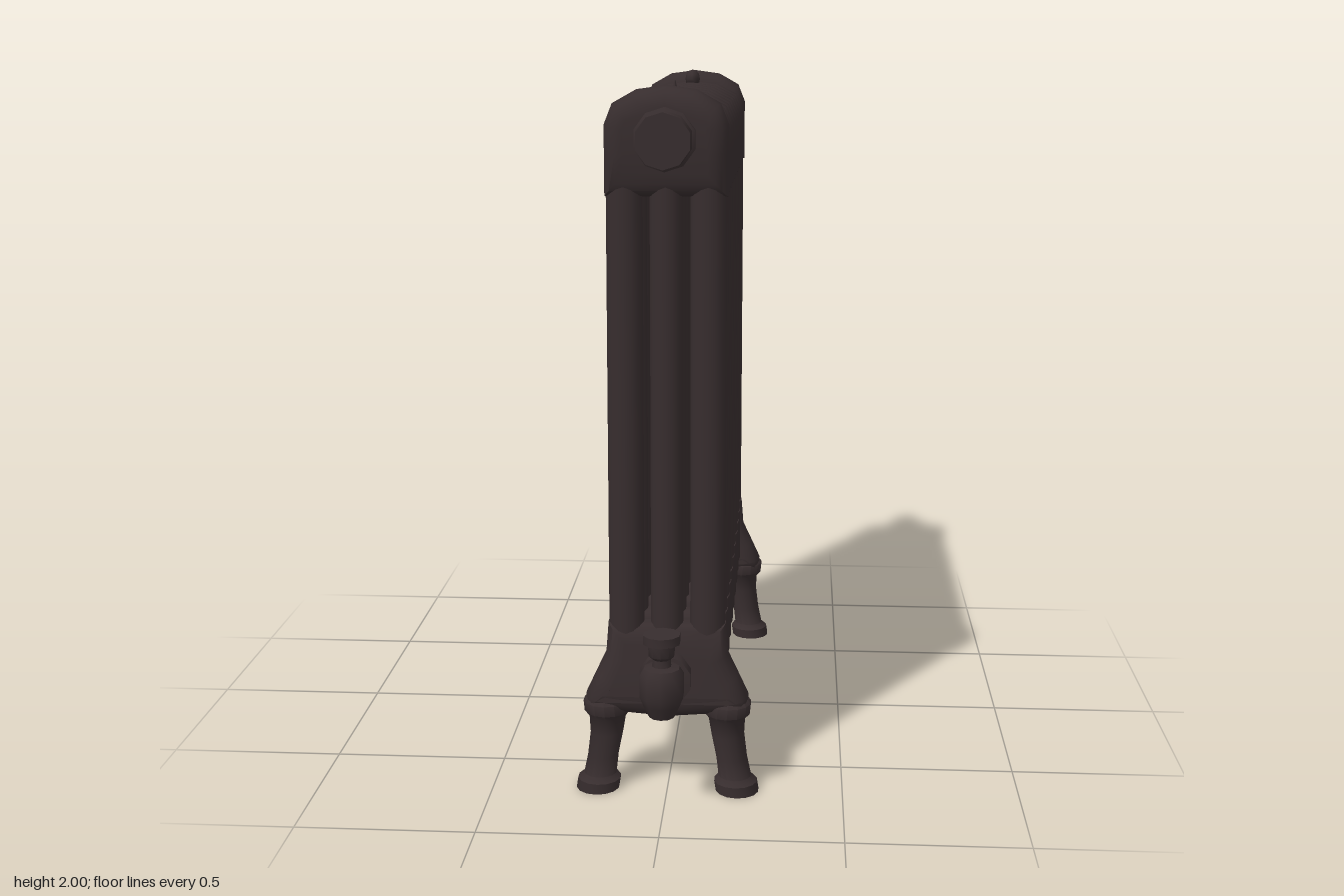
import * as THREE from 'three';
import { toCreasedNormals } from 'three/addons/utils/BufferGeometryUtils.js';

const iron = new THREE.MeshStandardMaterial({ color: 0x372d2e });
iron.name = 'dark cast iron';

function add(parent, name, geometry, x = 0, y = 0, z = 0) {
  const mesh = new THREE.Mesh(geometry, iron);
  mesh.name = name;
  mesh.position.set(x, y, z);
  parent.add(mesh);
  return mesh;
}

// Rounded, symmetric casting from the right half of its outline (bottom to top)
function casting(half, taper) {
  const left = half.filter(p => p[0] > 0).map(([x, y]) => [-x, y]).reverse();
  const shape = new THREE.Shape([...half, ...left].map(p => new THREE.Vector2(...p)));
  const g = new THREE.ExtrudeGeometry(shape, {
    depth: 0.026, bevelEnabled: true, bevelThickness: 0.052, bevelSize: 0.052,
    bevelOffset: -0.052, bevelSegments: 4,
  });
  g.translate(0, 0, -0.013);
  // narrow the casting towards the columns
  const p = g.attributes.position;
  for (let i = 0; i < p.count; i++) p.setZ(i, p.getZ(i) * taper(p.getY(i)));
  return toCreasedNormals(g, 0.9);
}

const ramp = t => 0.76 + 0.24 * THREE.MathUtils.clamp(t, 0, 1);

function lathe(points, sides = 14) {
  const g = new THREE.LatheGeometry(points.map(p => new THREE.Vector2(...p)), sides);
  return toCreasedNormals(g, 0.8);
}

// Lathe profile [radius, distance] turned to run along z
function zLathe(points, sides = 14) {
  return lathe(points, sides).rotateX(Math.PI / 2);
}

const headOutline = [[0.165, 0], [0.165, 0.1], [0.165, 0.17], [0.143, 0.22], [0.08, 0.252], [0, 0.262]];
const footOutline = [
  [0, 0.225], [0.12, 0.235], [0.225, 0.25], [0.23, 0.285], [0.2, 0.35], [0.172, 0.41], [0.165, 0.5],
];

// Valve on the bottom port, built pointing towards +z
function makeValve() {
  const valve = new THREE.Group();
  valve.name = 'valve';
  add(valve, 'portCollar', zLathe([[0, 0.68], [0.075, 0.68], [0.075, 0.775], [0.04, 0.78], [0.037, 0.86], [0, 0.86]], 10), 0, 0.36);
  add(valve, 'valveBody', lathe([
    [0, 0.295], [0.035, 0.3], [0.052, 0.335], [0.062, 0.36], [0.062, 0.42], [0.05, 0.44], [0.027, 0.445],
    [0.025, 0.465], [0.036, 0.475], [0.038, 0.505], [0.052, 0.51], [0.052, 0.535], [0, 0.535],
  ], 10), 0, 0, 0.88);
  return valve;
}

// Leg leaning outwards to +x, with collar and foot
function makeLeg() {
  const g = lathe([
    [0, 0], [0.066, 0], [0.066, 0.03], [0.05, 0.045], [0.047, 0.1], [0.05, 0.17], [0.056, 0.22],
    [0.069, 0.235], [0.069, 0.265], [0.05, 0.285], [0, 0.3],
  ]);
  const p = g.attributes.position;
  for (let i = 0; i < p.count; i++) {
    const y = p.getY(i);
    const lean = y < 0.2 ? 0.2 - 0.16 * y : 0.168 + 0.1 * (y - 0.2);
    p.setX(i, p.getX(i) * 0.94 + lean);
  }
  return g;
}

export function createModel() {
  const radiator = new THREE.Group();
  radiator.name = 'radiator';

  const head = casting(headOutline, y => ramp((y - 0.01) / 0.13));
  const endFoot = casting(footOutline, y => ramp((0.49 - y) / 0.13));
  const column = new THREE.CylinderGeometry(0.05, 0.05, 1.44, 14, 1, true);
  column.scale(1, 1, 0.95);

  // Eleven three-column sections
  for (let i = -5; i <= 5; i++) {
    const end = Math.abs(i) === 5;
    const section = new THREE.Group();
    section.name = end ? 'endSection' : 'section';
    section.position.z = i * 0.1335;
    for (const x of [-0.114, 0, 0.114]) {
      const c = add(section, 'column', column, x, 1.1);
      if (x === 0) c.scale.x = 0.92;
    }
    const top = add(section, 'topHead', head, 0, 1.695);
    if (end) {
      top.scale.set(1.01, 1.12, 1.08);
      add(section, 'flaredBase', endFoot).scale.z = 1.06;
    } else {
      const bottom = add(section, 'bottomHead', head, 0, 0.495);
      bottom.rotation.z = Math.PI;
    }
    radiator.add(section);
  }

  // Connecting hubs through all sections
  for (const y of [1.845, 0.36]) {
    add(radiator, 'connectingHub', zLathe([[0, -0.7], [0.077, -0.7], [0.077, 0.7], [0, 0.7]]), 0, y);
  }

  // Four legs
  const leg = makeLeg();
  for (const z of [-0.672, 0.672]) {
    const pair = new THREE.Group();
    pair.name = 'legPair';
    add(pair, 'leftLeg', leg);
    const other = new THREE.Group();
    other.rotation.y = Math.PI;
    add(other, 'rightLeg', leg);
    pair.add(other);
    pair.position.z = z;
    radiator.add(pair);
  }

  // Bottom valves at both ends
  const frontValve = makeValve();
  const backValve = makeValve();
  backValve.rotation.y = Math.PI;
  radiator.add(frontValve, backValve);

  // Front blanking plug
  add(radiator, 'frontPlug', zLathe([[0, 0.66], [0.085, 0.66], [0.085, 0.75], [0.077, 0.755], [0.075, 0.812], [0, 0.812]], 10), 0, 1.85);

  // Back plug with a bleed valve
  const bleed = new THREE.Group();
  bleed.name = 'bleedValve';
  bleed.position.y = 1.85;
  bleed.rotation.y = Math.PI;
  add(bleed, 'backPlug', zLathe([[0, 0.66], [0.08, 0.66], [0.08, 0.77], [0.06, 0.775], [0.057, 0.81], [0.035, 0.815], [0.03, 0.85], [0, 0.85]], 10));
  const nozzle = add(bleed, 'bleedNozzle', zLathe([[0, -0.05], [0.035, -0.05], [0.035, 0], [0.05, 0.005], [0.05, 0.04], [0, 0.04]], 8), -0.02, 0, 0.85);
  nozzle.rotation.set(0.15, -0.35, 0);
  const key = add(bleed, 'bleedKey', new THREE.CylinderGeometry(0.02, 0.025, 0.07, 8), -0.06, 0, 0.83);
  key.rotation.z = Math.PI / 2;
  radiator.add(bleed);

  // Small casting nubs along the top
  add(radiator, 'castingNub', new THREE.ConeGeometry(0.022, 0.07, 6), 0, 1.958, 0.335);
  const nub = add(radiator, 'castingNub', new THREE.SphereGeometry(0.04, 8, 6), 0, 1.965, -0.515);
  nub.scale.set(0.6, 0.75, 1.1);

  return radiator;
}
